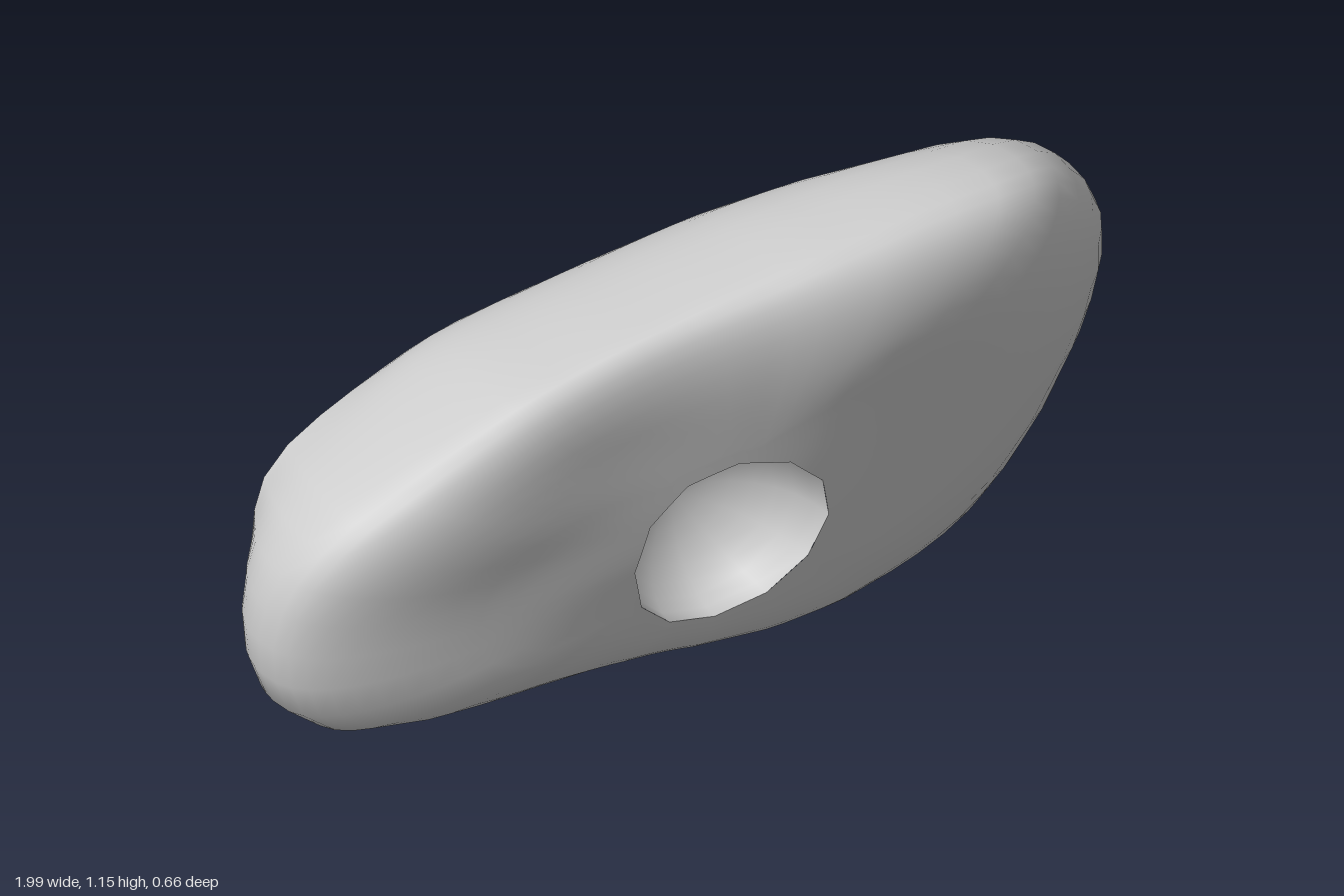
import * as THREE from 'three';

const CX = 0.005, CY = 0.425, BACK = -0.325, N = 72;
const { lerp, clamp, smoothstep } = THREE.MathUtils;

// widest outline, counter-clockwise seen from the front
const OUTLINE = [
  [1, 0.745], [0.98, 0.865], [0.93, 0.96], [0.85, 1.055], [0.74, 1.13], [0.6, 1.155],
  [0.43, 1.145], [0.21, 1.11], [0, 1.06], [-0.24, 1], [-0.46, 0.935], [-0.66, 0.84],
  [-0.84, 0.735], [-0.94, 0.64], [-0.98, 0.55], [-1, 0.43], [-0.99, 0.315], [-0.95, 0.225],
  [-0.85, 0.165], [-0.66, 0.14], [-0.46, 0.12], [-0.22, 0.075], [0, 0.03], [0.2, 0.003],
  [0.41, 0.003], [0.58, 0.05], [0.71, 0.14], [0.83, 0.27], [0.92, 0.42], [0.98, 0.6],
];
// flat mounting face outline, smoothed
const FLAT = new THREE.CatmullRomCurve3([
  [0.7, 0.38], [0.695, 0.46], [0.65, 0.535], [0.55, 0.58], [0.34, 0.65], [0.11, 0.745],
  [-0.19, 0.83], [-0.4, 0.84], [-0.61, 0.785], [-0.78, 0.71], [-0.84, 0.65], [-0.865, 0.57],
  [-0.87, 0.44], [-0.86, 0.33], [-0.83, 0.26], [-0.765, 0.22], [-0.58, 0.205], [-0.32, 0.17],
  [-0.06, 0.125], [0.14, 0.1], [0.34, 0.093], [0.5, 0.11], [0.63, 0.17], [0.69, 0.26],
].map(([x, y]) => new THREE.Vector3(x, y, 0)), true).getPoints(120).slice(0, -1).map((p) => [p.x, p.y]);
// twelve-sided bolt recess
const HOLE = Array.from({ length: 12 }, (_, i) => {
  const a = (i * Math.PI) / 6;
  return [CX + 0.225 * Math.cos(a), CY + 0.225 * Math.sin(a)];
});

// distance from the recess centre to a polygon along an angle
function reach(poly, a) {
  const c = Math.cos(a), s = Math.sin(a);
  let best = 0;
  poly.forEach((p, i) => {
    const q = poly[(i + 1) % poly.length];
    const px = p[0] - CX, py = p[1] - CY, ex = q[0] - p[0], ey = q[1] - p[1];
    const d = c * ey - s * ex;
    if (Math.abs(d) < 1e-9) return;
    const r = (px * ey - py * ex) / d, t = (px * s - py * c) / d;
    if (t >= -1e-6 && t <= 1 + 1e-6) best = Math.max(best, r);
  });
  return best;
}

// tilted middle surface that the rim follows, lifted at the lower narrow end
const middle = (x, y) => -0.148 + 0.091 * x + 0.255 * y
  - 0.13 * smoothstep(x, 0.6, 1)
  + 0.08 * smoothstep(-x, 0, 0.6) * (1 - smoothstep(y, 0.12, 0.55));
// front thickness: shallow upper waist, fuller towards the big end
const thickness = (x, y) => 0.192
  - 0.055 * Math.exp(-(((x + 0.25) / 0.35) ** 2)) * smoothstep(y, 0.4, 0.8)
  + 0.022 * Math.exp(-(((x - 0.25) / 0.25) ** 2))
  + 0.06 * smoothstep(x, 0.6, 0.95);

// one spoke of the body as [radius, z], from the recess rim round to the flat face
function spoke(a) {
  const R = reach(OUTLINE, a), Rb = reach(FLAT, a), rh = reach(HOLE, a);
  const w = Math.min(0.4, 0.9 * (R - rh));
  const pts = [];
  const front = (r, k) => {
    const x = CX + r * Math.cos(a), y = CY + r * Math.sin(a);
    pts.push([r, middle(x, y) + k * thickness(x, y)]);
  };
  for (let i = 0; i < 5; i++) front(lerp(rh, R - w, i / 5), 1);
  for (let i = 0; i <= 10; i++) {
    const f = (Math.PI / 2) * (1 - i / 10);
    front(R - w * (1 - Math.cos(f)), Math.sin(f) ** 0.75);
  }
  // rounded edge, then a slope to the flat back (slimmer at both ends)
  const zm = pts[pts.length - 1][1], gap = zm - BACK;
  const e = Math.max(smoothstep(R - Rb, 0.2, 0.75), smoothstep(Math.abs(Math.cos(a)), 0.75, 0.98));
  const p1 = [R, zm - gap * lerp(0.7, 0.5, e)];
  const p2 = [lerp(Rb, R, lerp(0.6, 0.38, e)), BACK + gap * lerp(0.1, 0.25, e)];
  const curve = new THREE.CubicBezierCurve(
    new THREE.Vector2(R, zm), new THREE.Vector2(...p1),
    new THREE.Vector2(...p2), new THREE.Vector2(Rb, BACK));
  for (let i = 1; i <= 10; i++) {
    const p = curve.getPoint(i / 10);
    pts.push([p.x, p.y]);
  }
  return pts;
}

// skin built from spokes around the recess axis
function skin(name, count, spokeAt) {
  const pos = [], idx = [];
  let M = 0;
  for (let j = 0; j < count; j++) {
    const a = (j / count) * Math.PI * 2, pts = spokeAt(a);
    M = pts.length;
    for (const [r, z] of pts) pos.push(CX + r * Math.cos(a), CY + r * Math.sin(a), z);
  }
  for (let j = 0; j < count; j++) {
    for (let i = 0; i < M - 1; i++) {
      const a = j * M + i, b = ((j + 1) % count) * M + i;
      idx.push(a, a + 1, b + 1, a, b + 1, b);
    }
  }
  const g = new THREE.BufferGeometry();
  g.setAttribute('position', new THREE.Float32BufferAttribute(pos, 3));
  g.setIndex(idx);
  g.computeVertexNormals();
  const mesh = new THREE.Mesh(g, new THREE.MeshStandardMaterial({ color: 0xcccccc }));
  mesh.name = name;
  return mesh;
}

export function createModel() {
  const group = new THREE.Group();
  group.name = 'climbingHold';
  group.add(skin('body', N, spoke));

  // round-bottomed recess
  const floor = middle(CX, CY) + thickness(CX, CY) - 0.22;
  group.add(skin('boltRecess', 12, (a) => {
    const [rh, zr] = spoke(a)[0];
    return Array.from({ length: 9 }, (_, i) => {
      const f = (Math.PI / 2) * clamp(i / 8, 0.002, 1);
      return [rh * Math.sin(f), lerp(zr, floor, Math.cos(f))];
    });
  }));

  // flat mounting face
  const face = new THREE.Shape(Array.from({ length: N }, (_, j) => {
    const a = (j / N) * Math.PI * 2, r = reach(FLAT, a);
    return new THREE.Vector2(-CX - r * Math.cos(a), CY + r * Math.sin(a));
  }));
  const back = new THREE.Mesh(new THREE.ShapeGeometry(face),
    new THREE.MeshStandardMaterial({ color: 0xcccccc }));
  back.name = 'mountingFace';
  back.rotation.y = Math.PI;
  back.position.z = BACK;
  group.add(back);
  return group;
}
